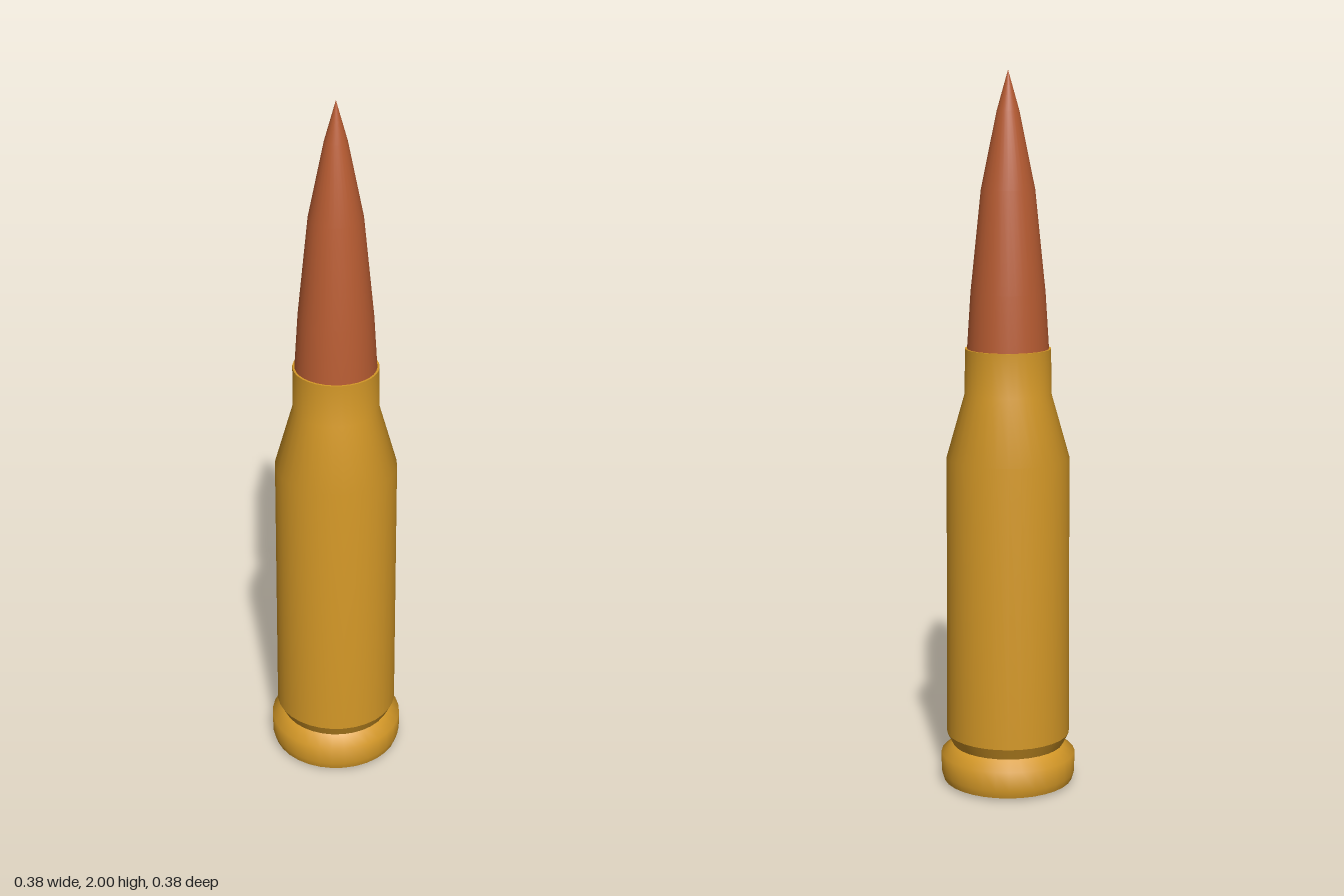
import * as THREE from 'three';

const SIDES = 32;

export function createModel() {
  const group = new THREE.Group();
  const material = (name, color) => {
    const m = new THREE.MeshStandardMaterial({ color });
    m.name = name;
    return m;
  };
  const brass = material('brass', 0xd49827);
  const copper = material('copper', 0xb85c32);
  const dark = material('dark steel', 0x3a3a40);

  // Turned section from [radius, height] pairs, bottom to top; smooth within a section
  const turn = (name, mat, profile) => {
    const points = profile.map(([r, y]) => new THREE.Vector2(r, y));
    const mesh = new THREE.Mesh(new THREE.LatheGeometry(points, SIDES), mat);
    mesh.name = name;
    group.add(mesh);
  };

  // Cartridge case: separate sections keep the edges between them crisp
  turn('caseBase', brass, [[0, 0.008], [0.183, 0.008]]);
  turn('caseRim', brass, [[0.183, 0.008], [0.19, 0.03], [0.19, 0.085], [0.157, 0.112]]);
  turn('extractorGroove', brass, [[0.157, 0.112], [0.174, 0.145]]);
  turn('caseBody', brass, [[0.174, 0.145], [0.171, 0.94], [0.12, 1.12], [0.119, 1.245]]);
  turn('caseMouth', brass, [[0.119, 1.245], [0.108, 1.245]]);

  // Pointed projectile with a curved taper
  turn('projectile', copper, [
    [0.115, 1.2], [0.113, 1.245], [0.103, 1.4], [0.074, 1.68], [0.031, 1.89], [0, 2],
  ]);

  // Primer set into the base
  turn('primer', dark, [[0, 0], [0.064, 0]]);
  turn('primerWall', dark, [[0.064, 0], [0.064, 0.01]]);

  return group;
}
